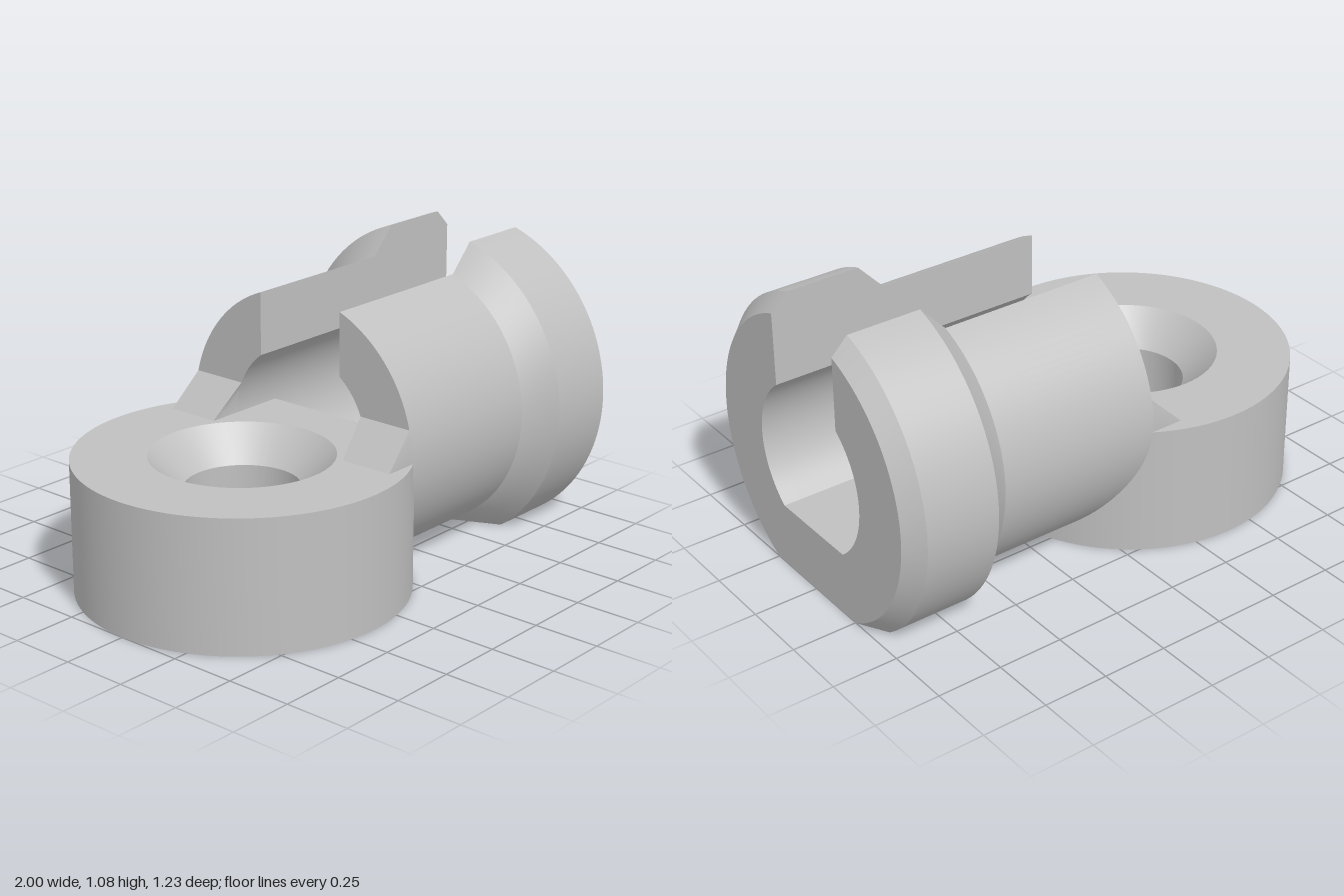
import * as THREE from 'three';
import { toCreasedNormals } from 'three/addons/utils/BufferGeometryUtils.js';

const AXIS_Y = 0.496;  // height of the barrel axis
const SLOT = 0.187;    // half width of the top slot
const BORE = 0.31;     // bore radius
const FLOOR = 0.25;    // flat floor of the bore
const BODY = 0.519;    // barrel radius
const EYE_X = -0.395;  // centre of the eyelet
const EYE_TOP = 0.495;
const RAMP_X = 0.12;   // top edge of the ramp inside the bore

// Points on a circle round the barrel axis, as (z, y); angle 0 is straight up
function arc(r, from, to, n) {
  return Array.from({ length: n + 1 }, (_, i) => {
    const t = from + (to - from) * i / n;
    return new THREE.Vector2(r * Math.sin(t), AXIS_Y + r * Math.cos(t));
  });
}

// C-shaped section: slotted on top, cut flat at y = 0, bore with a flat floor
function barrelSection(r) {
  const outer = [Math.asin(SLOT / r), Math.acos(-AXIS_Y / r)];
  const inner = [Math.asin(SLOT / BORE), Math.acos((FLOOR - AXIS_Y) / BORE)];
  const right = arc(r, outer[0], outer[1], 48);
  const left = arc(r, -outer[1], -outer[0], 48);
  const boreLeft = arc(BORE, -inner[0], -inner[1], 28);
  const boreRight = arc(BORE, inner[1], inner[0], 28);
  return [...right, ...left, ...boreLeft, ...boreRight];
}

// Joins (z, y) sections, clockwise seen from -x, placed along x, and caps both ends
function loft(stations) {
  const pos = [];
  const put = (x, p) => pos.push(x, p.y, p.x);
  for (let s = 0; s < stations.length - 1; s++) {
    const [x0, a] = stations[s], [x1, b] = stations[s + 1];
    for (let i = 0; i < a.length; i++) {
      const j = (i + 1) % a.length;
      put(x0, a[i]); put(x0, a[j]); put(x1, b[j]);
      put(x0, a[i]); put(x1, b[j]); put(x1, b[i]);
    }
  }
  [stations[0], stations[stations.length - 1]].forEach(([x, pts], end) => {
    for (const tri of THREE.ShapeUtils.triangulateShape(pts, [])) {
      const t = tri.map(i => pts[i]);
      if ((THREE.ShapeUtils.area(t) > 0) === (end === 1)) t.reverse();
      t.forEach(p => put(x, p));
    }
  });
  const g = new THREE.BufferGeometry();
  g.setAttribute('position', new THREE.Float32BufferAttribute(pos, 3));
  return toCreasedNormals(g, 0.4);
}

// Countersunk eyelet; its upper part is cut straight where the ramp begins
function eyeletGeometry() {
  const profile = [
    [0.21, 0], [0.605, 0], [0.605, 0.24], [0.605, 0.2401], [0.605, EYE_TOP],
    [0.333, EYE_TOP], [0.21, 0.372], [0.21, 0],
  ].map(([r, y]) => new THREE.Vector2(r, y));
  const g = new THREE.LatheGeometry(profile, 128);
  const p = g.attributes.position;
  for (let i = 0; i < p.count; i++) {
    if (p.getY(i) > 0.24005) p.setX(i, Math.min(p.getX(i), RAMP_X - EYE_X));
  }
  g.translate(EYE_X, 0, 0);
  return toCreasedNormals(g, 0.4);
}

// Section of a gusset: the band of barrel wall up to height h above the eyelet
function gussetSection(h, side) {
  const wall = (r, y) => new THREE.Vector2(side * Math.sqrt(r * r - (y - AXIS_Y) ** 2), y);
  const levels = Array.from({ length: 9 }, (_, i) => EYE_TOP - 0.02 + (h + 0.02) * i / 8);
  const pts = [
    ...levels.slice().reverse().map(y => wall(BODY, y)),
    ...levels.map(y => wall(BORE, y)),
  ];
  return side > 0 ? pts : pts.reverse();
}

export function createModel() {
  const group = new THREE.Group();
  const grey = new THREE.MeshStandardMaterial({ color: 0xc0c0c0 });
  grey.name = 'plain grey';
  const add = (name, geometry) => {
    const mesh = new THREE.Mesh(geometry, grey);
    mesh.name = name;
    group.add(mesh);
  };

  add('eyelet', eyeletGeometry());

  // Slotted barrel with a chamfered collar at its open end
  const stations = [[-0.09, BODY], [0.553, BODY], [0.652, 0.617], [0.937, 0.617], [1, 0.557]];
  add('slottedBarrel', loft(stations.map(([x, r]) => [x, barrelSection(r)])));

  // Ramp closing the lower bore
  const ramp = new THREE.Shape([
    [0, 0.24], [0.37, 0.24], [0.37, FLOOR], [RAMP_X, EYE_TOP], [0, EYE_TOP],
  ].map(([x, y]) => new THREE.Vector2(x, y)));
  const rampGeometry = new THREE.ExtrudeGeometry(ramp, { depth: 0.64, bevelEnabled: false });
  rampGeometry.translate(0, 0, -0.32);
  add('boreRamp', rampGeometry);

  // Sloped gussets between barrel and eyelet
  for (const side of [1, -1]) {
    add(side > 0 ? 'frontGusset' : 'backGusset',
      loft([[-0.215, gussetSection(0, side)], [-0.09, gussetSection(0.122, side)]]));
  }
  return group;
}
